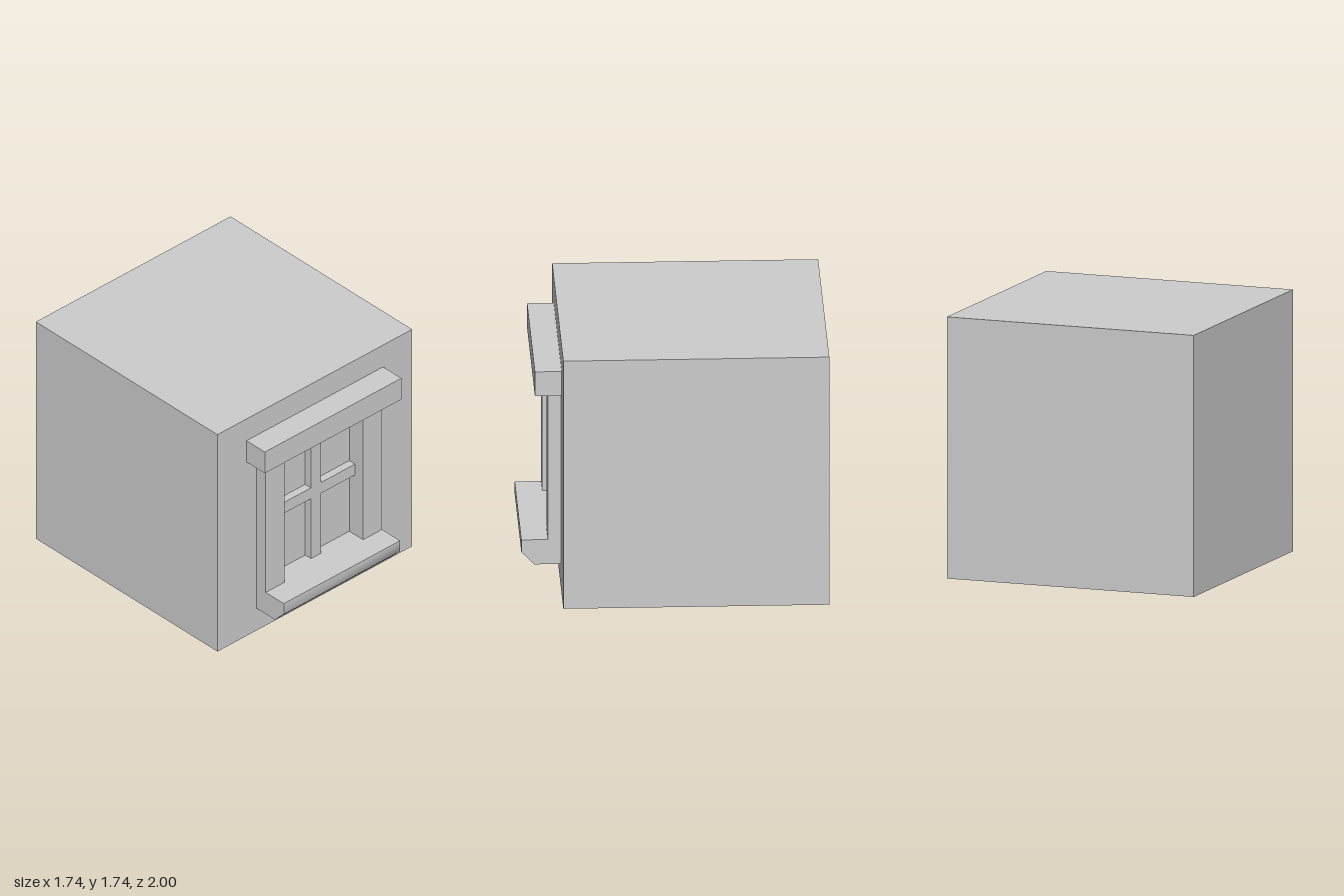
import * as THREE from 'three';
import { toCreasedNormals } from 'three/addons/utils/BufferGeometryUtils.js';

const WALL = 0.74;    // front plane of the wall
const RECESS = 0.695; // plane of the window pane
const OPEN = { x: 0.35, y0: 0.35, y1: 1.395 };

const polygon = (pts) => new THREE.Shape(pts.map(([x, y]) => new THREE.Vector2(x, y)));
const rect = (x0, y0, x1, y1) => [[x0, y0], [x1, y0], [x1, y1], [x0, y1]];

export function createModel() {
  const model = new THREE.Group();
  model.name = 'windowBlock';
  const stone = new THREE.MeshStandardMaterial({ color: 0xcccccc });
  stone.name = 'grey stone';

  const add = (name, geometry) => {
    const mesh = new THREE.Mesh(geometry, stone);
    mesh.name = name;
    model.add(mesh);
    return mesh;
  };
  // Box given by its lower and upper limits
  const box = (name, [x0, y0, z0], [x1, y1, z1]) =>
    add(name, new THREE.BoxGeometry(x1 - x0, y1 - y0, z1 - z0))
      .position.set((x0 + x1) / 2, (y0 + y1) / 2, (z0 + z1) / 2);
  const extrude = (shape, depth) => new THREE.ExtrudeGeometry(shape, { depth, bevelEnabled: false });

  // Solid body; its front shows as the pane inside the opening
  box('body', [-0.87, 0, -1], [0.87, 1.74, RECESS]);

  // Front layer of the wall with the window opening
  const wall = polygon(rect(-0.87, 0, 0.87, 1.74));
  wall.holes.push(polygon(rect(-OPEN.x, OPEN.y0, OPEN.x, OPEN.y1)));
  add('frontWall', extrude(wall, WALL - RECESS).translate(0, 0, RECESS));

  // Side posts of the frame
  box('rightJamb', [-0.52, OPEN.y0, WALL], [-OPEN.x, OPEN.y1, 0.827]);
  box('leftJamb', [OPEN.x, OPEN.y0, WALL], [0.52, OPEN.y1, 0.827]);

  // Lintel
  box('lintel', [-0.61, OPEN.y1, WALL], [0.61, 1.565, 0.915]);

  // Glazing bars as one cross
  const b = 0.044, lo = 0.83, hi = 0.917, w = OPEN.x;
  const cross = polygon([
    [-b, OPEN.y0], [b, OPEN.y0], [b, lo], [w, lo], [w, hi], [b, hi],
    [b, OPEN.y1], [-b, OPEN.y1], [-b, hi], [-w, hi], [-w, lo], [-b, lo],
  ]);
  add('glazingBars', extrude(cross, 0.055).translate(0, 0, RECESS));

  // Sill: side profile in (z, y), softly shaded over the chamfer
  const profile = polygon([[WALL, 0.177], [0.915, 0.177], [1, 0.265], [1, 0.35], [WALL, 0.35]]);
  const sill = extrude(profile, 1.04).rotateY(-Math.PI / 2).translate(0.52, 0, 0);
  add('sill', toCreasedNormals(sill, Math.PI / 3));

  return model;
}
